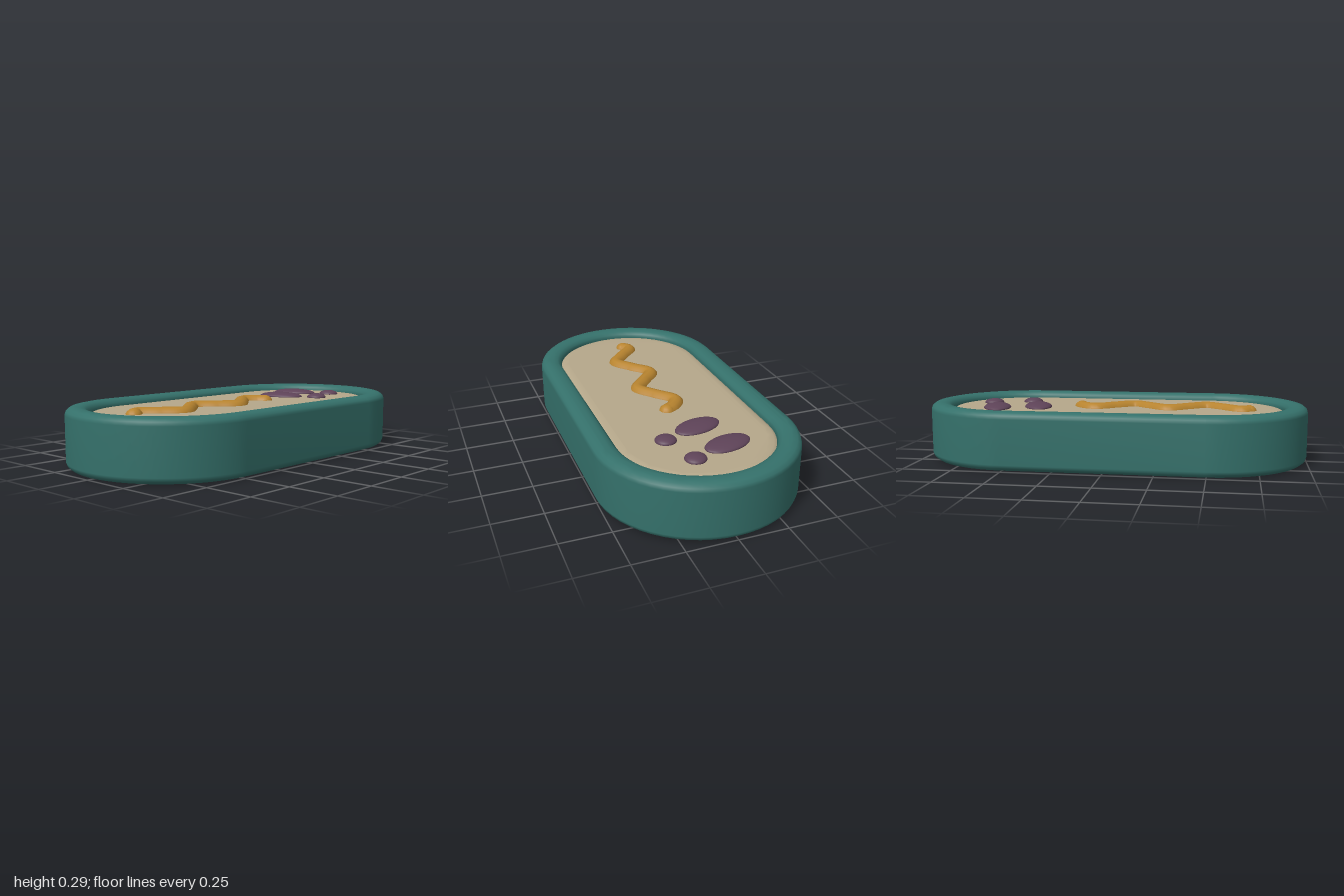
import * as THREE from 'three';
import { mergeVertices } from 'three/addons/utils/BufferGeometryUtils.js';

const HALF = 0.495; // distance of the round ends' centres from the middle

// Stadium outline with round ends of radius r
function stadium(r, Type = THREE.Shape) {
  const s = new Type();
  s.moveTo(-HALF, -r);
  s.lineTo(HALF, -r);
  s.absarc(HALF, 0, r, -Math.PI / 2, Math.PI / 2, false);
  s.lineTo(-HALF, r);
  s.absarc(-HALF, 0, r, Math.PI / 2, Math.PI * 1.5, false);
  return s;
}

// Bevelled, smooth-shaded slab lying flat between y0 and y1
function slab(shape, y0, y1, bevelSize, bevelThickness) {
  const g = new THREE.ExtrudeGeometry(shape, {
    depth: y1 - y0 - 2 * bevelThickness,
    bevelSize, bevelThickness, bevelOffset: -bevelSize,
    bevelSegments: 3, curveSegments: 14,
  });
  g.rotateX(-Math.PI / 2);
  g.translate(0, y0 + bevelThickness, 0);
  g.deleteAttribute('uv');
  g.deleteAttribute('normal');
  const merged = mergeVertices(g, 1e-4);
  merged.computeVertexNormals();
  return merged;
}

export function createModel() {
  const model = new THREE.Group();
  const material = (color) => new THREE.MeshStandardMaterial({ color });
  const add = (name, geometry, mat, parent = model) => {
    const mesh = new THREE.Mesh(geometry, mat);
    mesh.name = name;
    parent.add(mesh);
    return mesh;
  };

  // Outer ring wall
  const ring = stadium(0.505);
  ring.holes.push(stadium(0.39, THREE.Path));
  add('outerWall', slab(ring, 0, 0.295, 0.045, 0.035), material(0x35716b));

  // Filling inside the ring
  add('innerFilling', slab(stadium(0.4), 0.02, 0.265, 0.05, 0.025), material(0xb5a78a));

  // Wavy strand with rounded ends
  const strand = new THREE.Group();
  strand.name = 'wavyStrand';
  model.add(strand);
  const gold = material(0xb8842f);
  const points = [
    [-0.7, -0.03], [-0.66, -0.055], [-0.575, 0.015], [-0.48, 0.08], [-0.38, 0.015],
    [-0.285, -0.055], [-0.19, 0.015], [-0.095, 0.08], [0.005, 0.015], [0.1, -0.055],
    [0.165, -0.015], [0.19, 0.025],
  ].map(([x, z]) => new THREE.Vector3(x, 0.25, z));
  const path = new THREE.CatmullRomCurve3(points);
  add('strandTube', new THREE.TubeGeometry(path, 96, 0.043, 12), gold, strand);
  for (const end of [points[0], points[points.length - 1]]) {
    add('strandEnd', new THREE.SphereGeometry(0.043, 16, 12), gold, strand).position.copy(end);
  }

  // Flattened spots: x, z, half width, half length, turn
  const purple = material(0x5e4358);
  const spots = [
    ['longSpot', 0.417, -0.045, 0.072, 0.127, 0.28],
    ['longSpot', 0.625, -0.11, 0.072, 0.127, 0.28],
    ['roundSpot', 0.495, 0.15, 0.053, 0.053, 0],
    ['roundSpot', 0.703, 0.085, 0.053, 0.053, 0],
  ];
  for (const [name, x, z, w, l, turn] of spots) {
    const spot = add(name, new THREE.SphereGeometry(1, 24, 16), purple);
    spot.scale.set(w, 0.022, l);
    spot.rotation.y = turn;
    spot.position.set(x, 0.267, z);
  }
  return model;
}
